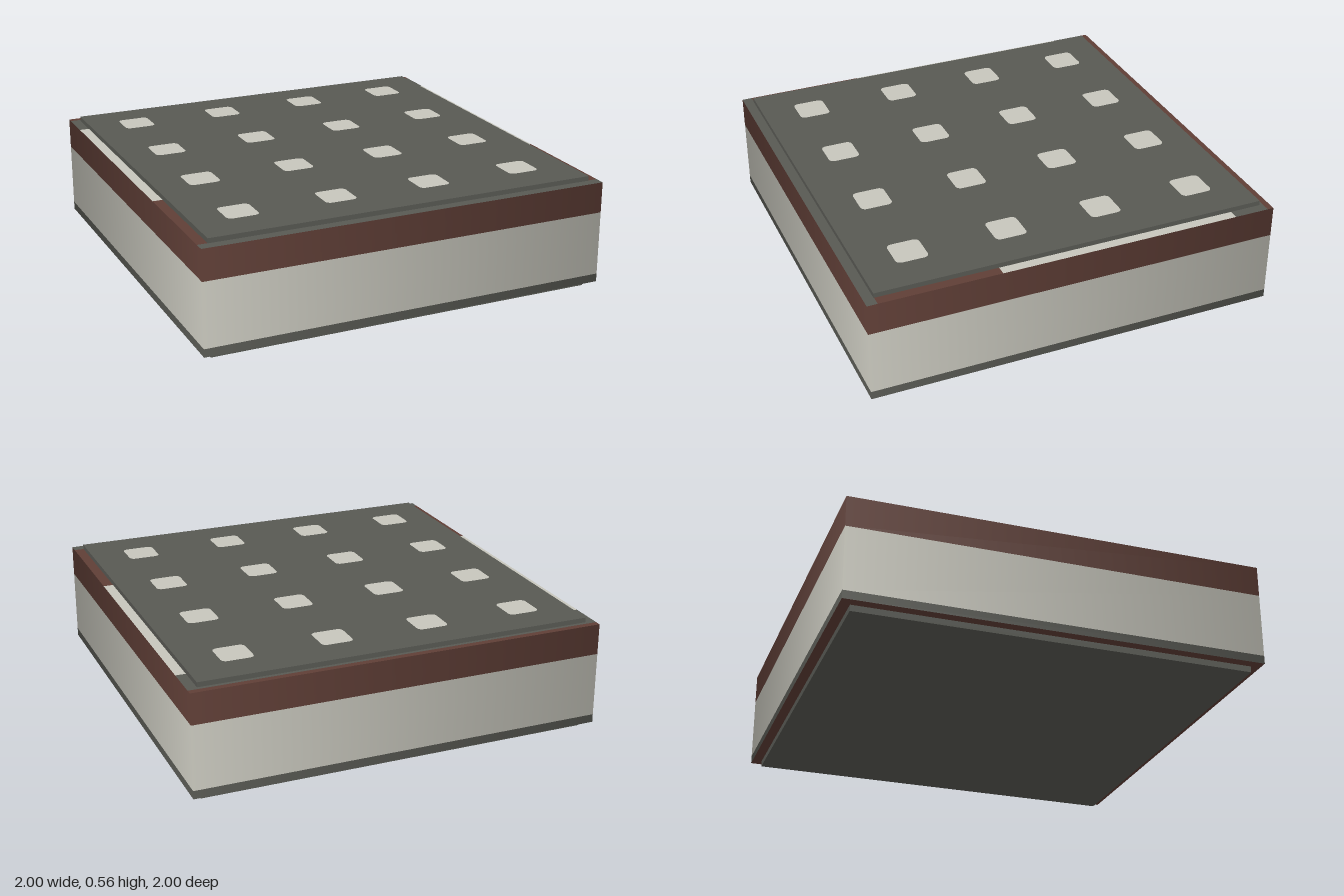
import * as THREE from 'three';

const mat = (name, color) => new THREE.MeshStandardMaterial({ name, color });

export function createModel() {
  const model = new THREE.Group();
  model.name = 'squareBlock';
  const grey = mat('dark grey', 0x585953);
  const cream = mat('cream', 0xc7c6bc);
  const brown = mat('brown', 0x5f3e36);

  const add = (name, geometry, material, x = 0, y = 0, z = 0) => {
    const mesh = new THREE.Mesh(geometry, material);
    mesh.name = name;
    mesh.position.set(x, y, z);
    model.add(mesh);
    return mesh;
  };

  // Square wall bands with normals that run smoothly round the corners
  const band = (name, y0, y1, material) => {
    const g = new THREE.CylinderGeometry(Math.SQRT2, Math.SQRT2, y1 - y0, 4, 1, true);
    g.rotateY(Math.PI / 4);
    add(name, g, material, 0, (y0 + y1) / 2, 0);
  };
  band('baseBand', 0.03, 0.07, grey);
  band('wallBand', 0.07, 0.383, cream);
  band('upperBand', 0.383, 0.533, brown);

  // Slightly inset panels above and below
  add('topPanel', new THREE.BoxGeometry(1.905, 0.03, 1.905), grey, 0, 0.541, 0);
  add('bottomPanel', new THREE.BoxGeometry(1.905, 0.035, 1.905), grey, 0, 0.0175, 0);

  // Flat rim strips between the wall and the panels
  const strip = (name, x0, x1, z0, z1, y, material, down = false) => {
    const g = new THREE.PlaneGeometry(x1 - x0, z1 - z0);
    g.rotateX(down ? Math.PI / 2 : -Math.PI / 2);
    add(name, g, material, (x0 + x1) / 2, y, (z0 + z1) / 2);
  };
  const top = 0.533, inner = 0.95;
  strip('backRim', -1, 1, -1, -0.97, top, brown);
  strip('backRimInner', -1, 1, -0.97, -inner, top, grey);
  strip('frontRim', -1, 1, inner, 1, top, grey);
  for (const [side, x0, x1] of [['left', inner, 1], ['right', -1, -inner]]) {
    strip(side + 'RimBack', x0, x1, -inner, -0.8, top, grey);
    strip(side + 'RimMiddle', x0, x1, -0.8, 0.37, top, cream);
    strip(side + 'RimFront', x0, x1, 0.37, inner, top, brown);
    strip(side + 'RimUnder', x0, x1, -inner, inner, 0.03, brown, true);
  }
  strip('backRimUnder', -1, 1, -1, -inner, 0.03, brown, true);
  strip('frontRimUnder', -1, 1, inner, 1, 0.03, brown, true);

  // Four by four grid of soft-cornered spots
  const h = 0.077, r = 0.025;
  const s = new THREE.Shape();
  s.absarc(h - r, h - r, r, 0, Math.PI / 2);
  s.absarc(r - h, h - r, r, Math.PI / 2, Math.PI);
  s.absarc(r - h, r - h, r, Math.PI, Math.PI * 1.5);
  s.absarc(h - r, r - h, r, Math.PI * 1.5, Math.PI * 2);
  const spot = new THREE.ShapeGeometry(s, 3).rotateX(-Math.PI / 2);
  for (let i = 0; i < 4; i++) {
    for (let j = 0; j < 4; j++) {
      add('spot', spot, cream, -0.718 + 0.475 * i, 0.558, -0.718 + 0.475 * j);
    }
  }
  return model;
}
